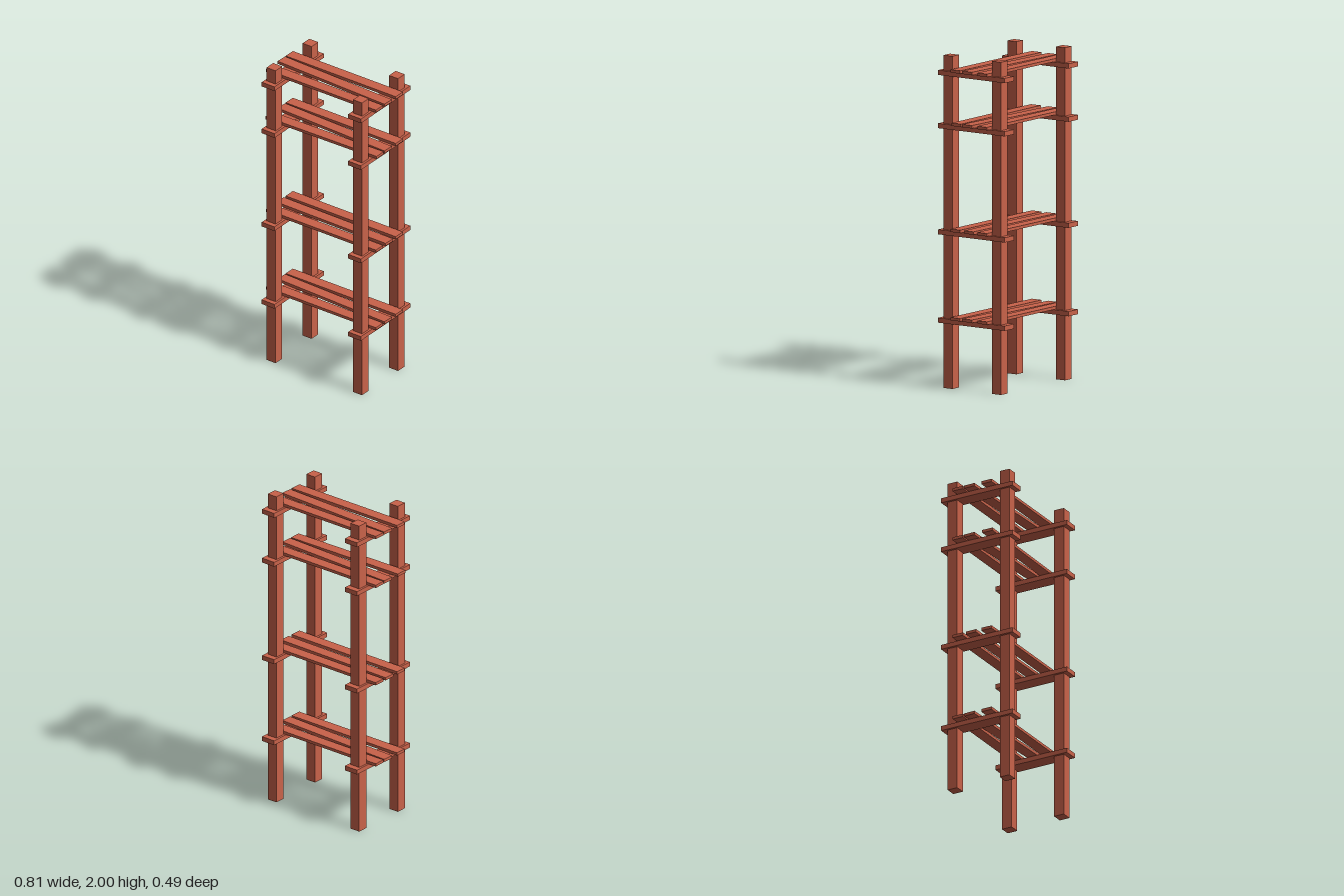
import * as THREE from 'three';

export function createModel() {
  const model = new THREE.Group();
  const wood = new THREE.MeshStandardMaterial({ color: 0xc8624a });
  wood.name = 'red wood';

  function beam(parent, name, size, position, yaw = 0) {
    const mesh = new THREE.Mesh(new THREE.BoxGeometry(...size), wood);
    mesh.name = name;
    mesh.position.set(...position);
    mesh.rotation.y = yaw;
    parent.add(mesh);
  }

  const sides = [['right', -0.307], ['left', 0.331]];

  // Four upright posts
  for (const [side, x] of sides) {
    beam(model, side + 'FrontPost', [0.066, 2, 0.066], [x, 1, 0.181]);
    beam(model, side + 'BackPost', [0.066, 2, 0.066], [x, 1, -0.177]);
  }

  // Shelves: height of the crossbar top, then yaw of the middle and front planks
  const shelves = [
    [0.42, -0.039, 0],
    [0.951, -0.011, 0],
    [1.589, -0.039, 0.016],
    [1.909, -0.039, 0],
  ];
  shelves.forEach(([y, middleYaw, frontYaw], i) => {
    const shelf = new THREE.Group();
    shelf.name = 'shelf' + (i + 1);
    shelf.position.y = y;
    model.add(shelf);

    // Crossbars wrapping the posts
    for (const [side, x] of sides) {
      beam(shelf, side + 'Crossbar', [0.094, 0.029, 0.491], [x, -0.0145, -0.0015]);
    }

    // Loose planks laid across the bars
    const plank = [0.812, 0.018, 0.071];
    beam(shelf, 'backPlank', plank, [-0.001, 0.009, -0.1015]);
    beam(shelf, 'middlePlank', plank, [-0.001, 0.009, -0.0065], middleYaw);
    beam(shelf, 'frontPlank', plank, [-0.001, 0.009, 0.096], frontYaw);
  });

  return model;
}
